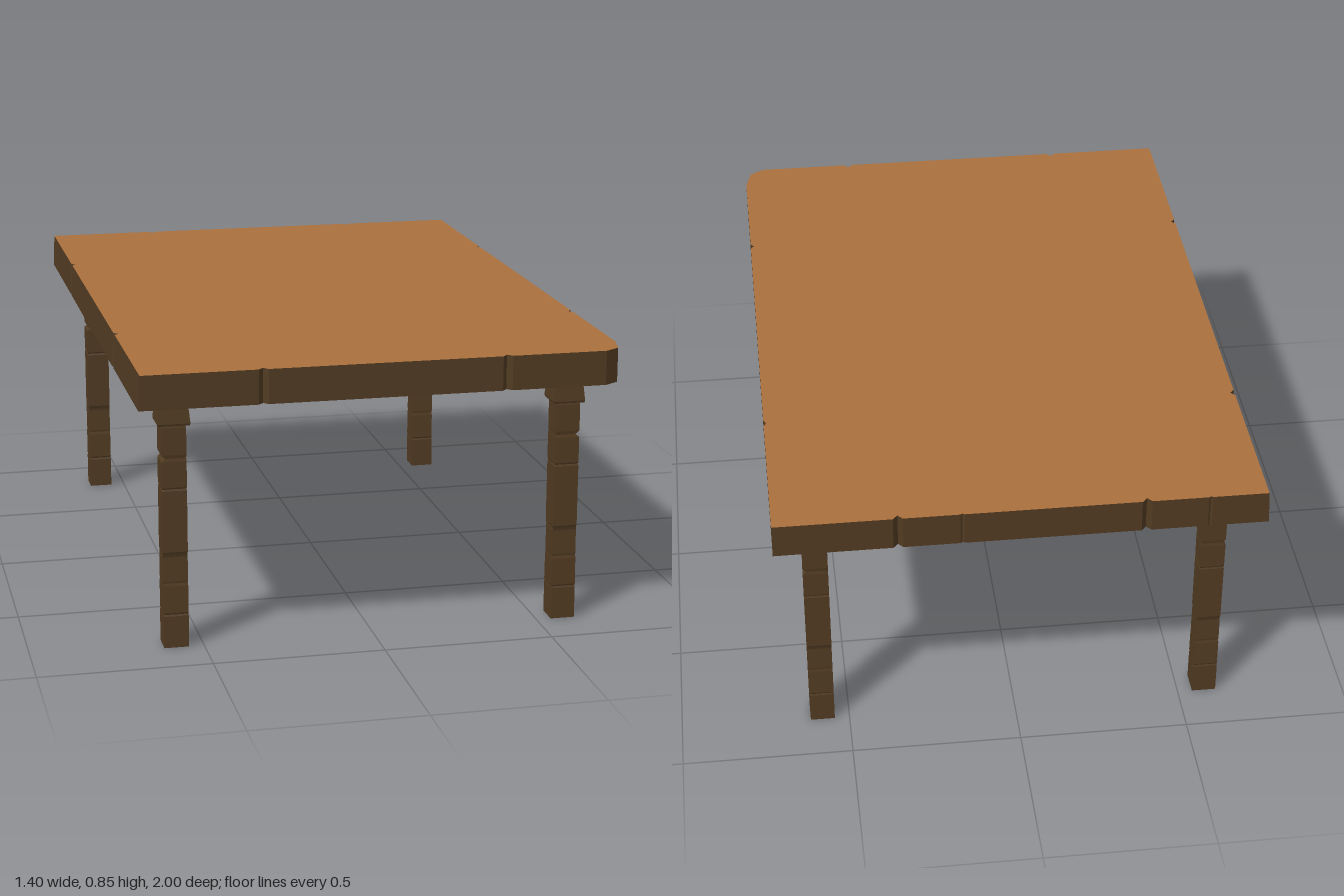
import * as THREE from 'three';

const topWood = new THREE.MeshStandardMaterial({ color: 0xaa703d });
topWood.name = 'warm wood';
const darkWood = new THREE.MeshStandardMaterial({ color: 0x513b22 });
darkWood.name = 'dark wood';

// Slab with V notches along its edges and one worn corner
function tabletop() {
  const W = 0.7, D = 1;
  const pts = [];
  // Notch in an edge running along (dx, dz); the inside lies to (-dz, dx)
  const notch = (x, z, dx, dz, half = 0.014, depth = 0.016) => {
    pts.push([x - dx * half, z - dz * half]);
    pts.push([x - dz * depth, z + dx * depth]);
    pts.push([x + dx * half, z + dz * half]);
  };
  // back edge
  pts.push([-W, -D]);
  notch(-0.53, -D, 1, 0, 0.006, 0.004);
  notch(-0.35, -D, 1, 0);
  notch(0.17, -D, 1, 0, 0.006, 0.004);
  notch(0.35, -D, 1, 0);
  // right edge and worn corner
  pts.push([W, -D]);
  notch(W, -0.5, 0, 1, 0.014, 0.008);
  notch(W, 0.5, 0, 1, 0.014, 0.01);
  pts.push([W, 0.9], [0.683, 0.972], [0.64, D]);
  // front edge
  notch(0.35, D, -1, 0);
  notch(-0.35, D, -1, 0);
  // left edge
  pts.push([-W, D]);
  notch(-W, 0.5, 0, -1, 0.014, 0.012);
  notch(-W, -0.5, 0, -1, 0.014, 0.012);

  const shape = new THREE.Shape(pts.map(([x, z]) => new THREE.Vector2(x, z)));
  const geo = new THREE.ExtrudeGeometry(shape, { depth: 0.1, bevelEnabled: false });
  geo.rotateX(Math.PI / 2).translate(0, 0.85, 0);
  // The left edge leans in slightly at the top
  const p = geo.attributes.position;
  for (let i = 0; i < p.count; i++) {
    if (p.getX(i) < -0.68 && p.getY(i) > 0.8) p.setX(i, p.getX(i) + 0.005);
  }
  geo.computeVertexNormals();
  const mesh = new THREE.Mesh(geo, [topWood, darkWood]);
  mesh.name = 'tabletop';
  return mesh;
}

// Square-section loft; rings are [y, inner x, outer x, half z]
function squareLoft(rings, side) {
  const corners = rings.map(([y, xi, xo, hz]) => {
    const a = side > 0 ? -xi : -xo, b = side > 0 ? xo : xi;
    return [[a, y, hz], [b, y, hz], [b, y, -hz], [a, y, -hz]];
  });
  const v = [];
  const quad = (a, b, c, d) => v.push(...a, ...b, ...c, ...a, ...c, ...d);
  for (let i = 0; i < corners.length - 1; i++) {
    const lo = corners[i], hi = corners[i + 1];
    for (let k = 0; k < 4; k++) {
      const n = (k + 1) % 4;
      quad(lo[k], lo[n], hi[n], hi[k]);
    }
  }
  const [a, b, c, d] = corners[0];
  quad(d, c, b, a);
  quad(...corners[corners.length - 1]);
  const geo = new THREE.BufferGeometry();
  geo.setAttribute('position', new THREE.Float32BufferAttribute(v, 3));
  geo.computeVertexNormals();
  return geo;
}

// Carved post: grooves, an outer nick and a slight waist
const post = [
  [0, 0.036, 0.036, 0.036],
  [0.095, 0.036, 0.036, 0.036],
  [0.1, 0.035, 0.035, 0.034],
  [0.105, 0.036, 0.036, 0.036],
  [0.185, 0.036, 0.036, 0.034],
  [0.194, 0.035, 0.035, 0.032],
  [0.2, 0.036, 0.036, 0.033],
  [0.272, 0.036, 0.036, 0.031],
  [0.28, 0.035, 0.035, 0.033],
  [0.288, 0.036, 0.036, 0.036],
  [0.47, 0.036, 0.036, 0.036],
  [0.475, 0.034, 0.034, 0.034],
  [0.48, 0.036, 0.036, 0.036],
  [0.556, 0.036, 0.036, 0.036],
  [0.566, 0.035, 0.025, 0.034],
  [0.576, 0.036, 0.036, 0.036],
  [0.655, 0.036, 0.036, 0.036],
  [0.67, 0.033, 0.033, 0.033],
];

// Flared block between post and slab
const cap = [
  [0.663, 0.045, 0.045, 0.045],
  [0.669, 0.047, 0.047, 0.047],
  [0.752, 0.038, 0.038, 0.038],
];

export function createModel() {
  const table = new THREE.Group();
  table.name = 'table';
  table.add(tabletop());
  for (const sx of [-1, 1]) {
    for (const sz of [-1, 1]) {
      const leg = new THREE.Group();
      leg.name = (sz > 0 ? 'front' : 'back') + (sx > 0 ? 'Left' : 'Right') + 'Leg';
      for (const [name, rings] of [['post', post], ['legCap', cap]]) {
        const mesh = new THREE.Mesh(squareLoft(rings, sx), darkWood);
        mesh.name = name;
        leg.add(mesh);
      }
      leg.position.set(sx * 0.58, 0, sz * 0.815);
      table.add(leg);
    }
  }
  return table;
}
